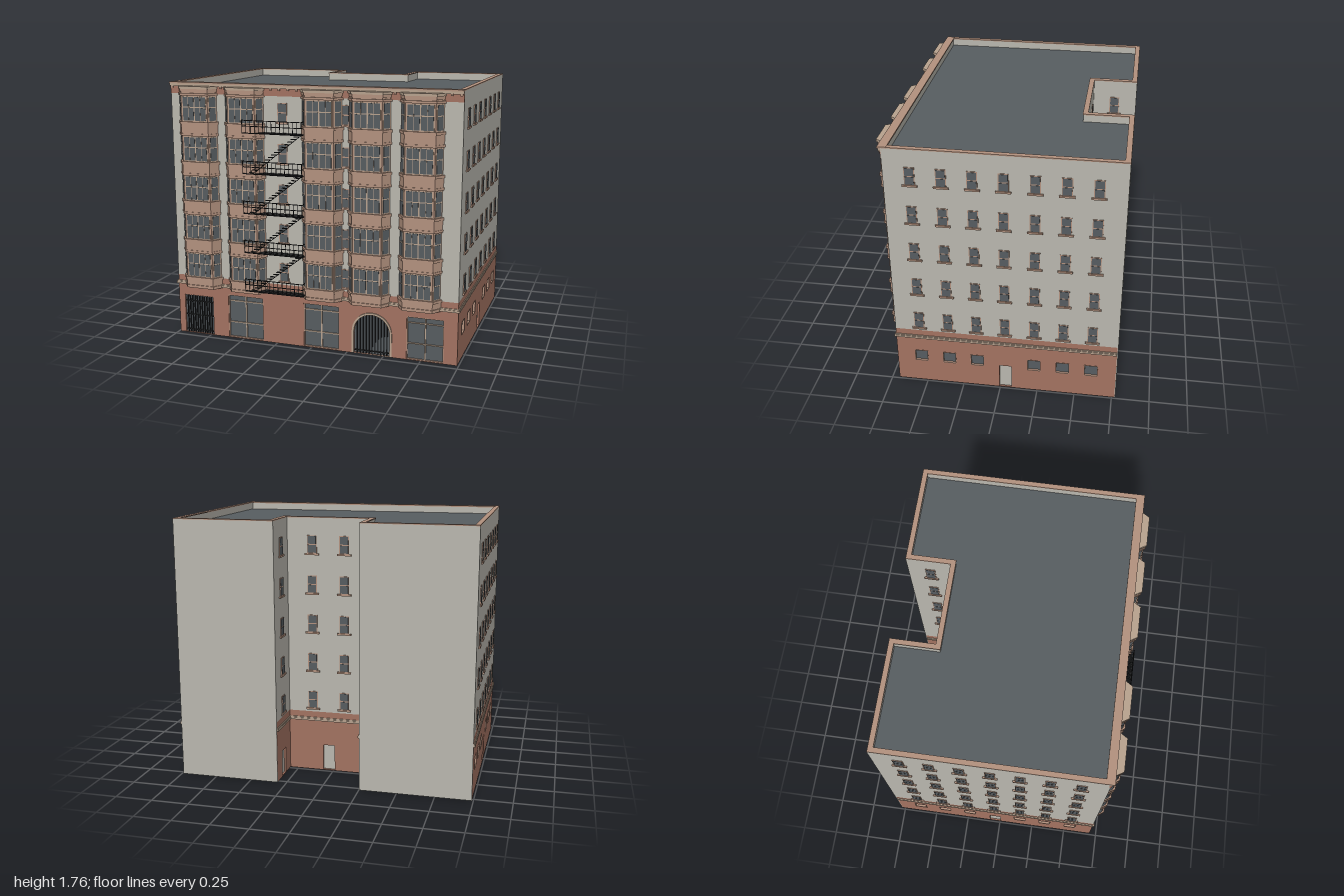
import * as THREE from 'three';

const mat = (name, color, side = THREE.FrontSide) => {
  const m = new THREE.MeshStandardMaterial({ color, side });
  m.name = name;
  return m;
};
const M = {
  plaster: mat('pale plaster', 0xb9b7ae, THREE.DoubleSide),
  brick: mat('red brick', 0xa27261),
  stone: mat('tan stone', 0xb2917e),
  trim: mat('light trim', 0xb7a28e),
  glass: mat('dark glass', 0x565c60),
  roof: mat('slate roof', 0x575d61),
  iron: mat('black iron', 0x1e1f20),
};
const FLOORS = 5, PITCH = 0.267;
const unit = new THREE.BoxGeometry(1, 1, 1);

const add = (parent, name, geo, m) => {
  const mesh = new THREE.Mesh(geo, m);
  mesh.name = name;
  parent.add(mesh);
  return mesh;
};
// box given by its extents on each axis
function box(parent, name, m, x0, x1, y0, y1, z0, z1) {
  const b = add(parent, name, unit, m);
  b.scale.set(x1 - x0, y1 - y0, z1 - z0);
  b.position.set((x0 + x1) / 2, (y0 + y1) / 2, (z0 + z1) / 2);
  return b;
}
const group = (parent, name, x = 0, y = 0, z = 0, ry = 0) => {
  const g = new THREE.Group();
  g.name = name;
  g.position.set(x, y, z);
  g.rotation.y = ry;
  parent.add(g);
  return g;
};

// U-shaped plan, inset by i; returned as (x, -z) points
const footprint = (i) => [
  [-0.99 + i, -0.70 + i], [0.99 - i, -0.70 + i], [0.99 - i, 0.775 - i], [0.31 + i, 0.775 - i],
  [0.31 + i, 0.48 - i], [-0.25 - i, 0.48 - i], [-0.25 - i, 0.775 - i], [-0.99 + i, 0.775 - i],
].map(([x, y]) => new THREE.Vector2(x, y));

// upright prism over a plan, optionally hollow
function prism(points, y0, y1, hole) {
  const s = new THREE.Shape(points);
  if (hole) s.holes.push(new THREE.Path(hole));
  return new THREE.ExtrudeGeometry(s, { depth: y1 - y0, bevelEnabled: false })
    .rotateX(-Math.PI / 2).translate(0, y0, 0);
}

// two-light sash window with a sill; local z points out of the wall
function sash(parent, x, y, w = 0.066, h = 0.118, sill = 0.095) {
  const g = group(parent, 'sashWindow', x, y, 0);
  box(g, 'windowFrame', M.stone, -w / 2, w / 2, 0, h, -0.002, 0.004);
  const a = w / 2 - 0.005;
  box(g, 'lowerPane', M.glass, -a, a, 0.004, h * 0.47, 0, 0.006);
  box(g, 'upperPane', M.glass, -a, a, h * 0.53, h - 0.005, 0, 0.006);
  box(g, 'windowSill', M.stone, -sill / 2, sill / 2, -0.012, 0, -0.002, 0.011);
}

function rectPath(x0, x1, y0, y1) {
  return [[x0, y0], [x1, y0], [x1, y1], [x0, y1]].map(([x, y]) => new THREE.Vector2(x, y));
}
function archPath(cx, r, spring) {
  const p = [new THREE.Vector2(cx - r, 0.004), new THREE.Vector2(cx + r, 0.004)];
  for (let i = 0; i <= 20; i++) {
    const a = (i / 20) * Math.PI;
    p.push(new THREE.Vector2(cx + r * Math.cos(a), spring + r * Math.sin(a)));
  }
  return p;
}

// ground-floor brick wall with openings: { type, x0, x1, y0, y1 }
function brickWall(root, name, x, z, ry, w, openings, over = 0) {
  const g = group(root, name, x, 0, z, ry);
  const s = new THREE.Shape(rectPath(-w / 2, w / 2, 0, 0.42));
  for (const o of openings) {
    const cx = (o.x0 + o.x1) / 2, r = (o.x1 - o.x0) / 2;
    const arch = o.type === 'arch';
    s.holes.push(new THREE.Path(arch ? archPath(cx, r, o.y1 - r) : rectPath(o.x0, o.x1, o.y0, o.y1)));
    const leaf = o.type === 'door';
    box(g, leaf ? 'door' : 'groundGlass', leaf ? M.plaster : M.glass, o.x0 - 0.002, o.x1 + 0.002, o.y0, o.y1, -0.02, -0.013);
    if (o.type === 'window' || o.type === 'shop') {
      const t = o.type === 'shop' ? 0.006 : 0.004, z1 = o.type === 'shop' ? -0.004 : 0.002;
      for (const e of [o.x0, o.x1 - t]) box(g, 'jamb', M.stone, e, e + t, o.y0, o.y1, -0.014, z1);
      for (const e of [o.y0, o.y1 - t]) box(g, 'rail', M.stone, o.x0, o.x1, e, e + t, -0.014, z1);
    }
    if (o.type === 'shop') {
      box(g, 'mullion', M.trim, cx - 0.004, cx + 0.004, o.y0, o.y1, -0.014, -0.005);
      for (const y of [0.11, o.y1 - 0.045]) box(g, 'transom', M.trim, o.x0, o.x1, y, y + 0.007, -0.014, -0.005);
    }
    if (arch || o.type === 'gate') {
      for (let i = 1; i < 12; i++) {
        const bx = -r + (2 * r * i) / 12;
        const top = arch ? o.y1 - r + Math.sqrt(r * r - bx * bx) : o.y1;
        box(g, 'gateBar', M.iron, cx + bx - 0.0035, cx + bx + 0.0035, 0.004, top, -0.012, -0.004);
      }
      for (const y of arch ? [0.02] : [0.02, 0.13, 0.23]) box(g, 'gateRail', M.iron, o.x0, o.x1, y, y + 0.006, -0.012, -0.004);
    }
    if (arch) {
      const ring = new THREE.Shape(archPath(cx, r + 0.014, o.y1 - r));
      ring.holes.push(new THREE.Path(archPath(cx, r, o.y1 - r)));
      add(g, 'archSurround', new THREE.ExtrudeGeometry(ring, { depth: 0.012, bevelEnabled: false }), M.trim).position.z = -0.004;
    }
  }
  add(g, 'brickFace', new THREE.ExtrudeGeometry(s, { depth: 0.02, bevelEnabled: false }), M.brick).position.z = -0.02;
  box(g, 'stoneBand', M.trim, -w / 2 - over, w / 2 + over, 0.356, 0.37, 0, 0.01);
  box(g, 'bandLip', M.trim, -w / 2 - over, w / 2 + over, 0.37, 0.379, 0, 0.006);
  return g;
}

// bay window plan: trapezoid grown by o
const bayPlan = (o) => [[-0.136 - o, 0.002], [-0.095 - o * 0.7, -0.056 - o], [0.095 + o * 0.7, -0.056 - o], [0.136 + o, 0.002]]
  .map(([x, y]) => new THREE.Vector2(x, y));

function bayFace(bay, x, z, ry, w, cols) {
  const face = group(bay, 'bayFace', x, 0, z, ry);
  for (let f = 0; f < FLOORS; f++) {
    const y = 0.435 + f * PITCH, h = 0.163, cw = w / cols;
    box(face, 'bayFrame', M.trim, -w / 2, w / 2, y, y + h, -0.002, 0.002);
    for (let c = 0; c < cols; c++) {
      // each column has a tall lower light and a shorter upper one, halved by a thin bar
      const x0 = -w / 2 + c * cw + 0.004, x1 = x0 + cw - 0.008;
      box(face, 'bayLowerPane', M.glass, x0, x1, y + 0.004, y + 0.088, 0, 0.004);
      box(face, 'bayUpperPane', M.glass, x0, x1, y + 0.095, y + h - 0.004, 0, 0.004);
      if (cols > 1) box(face, 'glazingBar', M.trim, (x0 + x1) / 2 - 0.0015, (x0 + x1) / 2 + 0.0015, y, y + h, 0, 0.005);
    }
  }
}

function bayWindow(root, cx) {
  const bay = group(root, 'bayWindow', cx, 0, 0.70);
  const slab = (name, m, o, y0, y1) => add(bay, name, prism(bayPlan(o), y0, y1), m);
  slab('bayBody', M.stone, 0, 0.36, 1.72);
  slab('bayFoot', M.stone, 0.006, 0.352, 0.372);
  for (let f = 0; f <= FLOORS; f++) {
    const y = 0.435 + f * PITCH;
    if (f < FLOORS) {
      slab('baySill', M.stone, 0.011, y - 0.022, y - 0.004);
      slab('spandrel', M.stone, 0.005, y - (f ? 0.085 : 0.06), y - 0.022);
    }
    if (f) slab('bayLintel', M.stone, 0.009, y - PITCH + 0.168, y - PITCH + 0.184);
  }
  slab('bayCornice', M.stone, 0.006, 1.695, 1.715);
  slab('bayCap', M.trim, 0.013, 1.715, 1.732);
  bayFace(bay, 0, 0.056, 0, 0.172, 2);
  const a = Math.atan2(0.058, 0.041);
  for (const s of [-1, 1]) bayFace(bay, s * 0.1155, 0.027, s * a, 0.054, 1);
}

function fireEscape(root) {
  const g = group(root, 'fireEscape');
  const x0 = -0.445, x1 = -0.03, zf = 0.776, t = 0.003;
  for (let f = 0; f < FLOORS; f++) {
    const y = 0.372 + f * PITCH, h = 0.083;
    for (let i = 0; i < 6; i++) box(g, 'platformSlat', M.iron, x0, x1, y, y + 0.004, 0.703 + i * 0.0125, 0.712 + i * 0.0125);
    for (const r of [0, h * 0.55, h]) {
      box(g, 'frontRail', M.iron, x0, x1, y + r, y + r + 0.005, zf - t, zf);
      for (const e of [x0, x1 - t]) box(g, 'endRail', M.iron, e, e + t, y + r, y + r + 0.005, 0.70, zf);
    }
    for (let i = 0; i <= 14; i++) {
      const x = x0 + ((x1 - x0 - t) * i) / 14;
      box(g, 'baluster', M.iron, x, x + t, y, y + h, zf - t, zf);
    }
    // stair up to the next platform
    if (f < FLOORS - 1) {
      const n = 15, sx = -0.40, run = 0.34;
      for (let i = 0; i < n; i++) {
        const x = sx + (run * i) / n, sy = y + (PITCH * (i + 0.5)) / n;
        box(g, 'stairTread', M.iron, x, x + 0.034, sy, sy + 0.004, 0.758, 0.774);
      }
      const rail = box(g, 'stairStringer', M.iron, 0, Math.hypot(run, PITCH), 0, 0.004, 0.757, 0.760);
      rail.position.set(sx + 0.02 + run / 2, y + PITCH / 2, 0.7585);
      rail.rotation.z = Math.atan2(PITCH, run);
    }
  }
}

export function createModel() {
  const root = new THREE.Group();
  root.name = 'apartmentBuilding';

  // shell, roof and parapet
  add(root, 'lowerShell', prism(footprint(0.02), 0, 0.42, footprint(0.025)), M.plaster);
  add(root, 'upperWalls', prism(footprint(0), 0.42, 1.748, footprint(0.03)), M.plaster);
  add(root, 'roofDeck', prism(footprint(0.02), 1.69, 1.70), M.roof);
  add(root, 'parapetCap', prism(footprint(0), 1.748, 1.755, footprint(0.034)), M.stone);
  for (const [a, b] of [[-0.99, -0.25], [0.31, 0.99]]) box(root, 'rearWingWall', M.plaster, a, b, 0, 0.42, -0.775, -0.769);

  // front cornice
  box(root, 'frontCap', M.stone, -0.99, 0.99, 1.746, 1.756, 0.666, 0.722);
  box(root, 'frontCornice', M.trim, -0.99, 0.99, 1.728, 1.746, 0.69, 0.716);
  box(root, 'frontFrieze', M.brick, -0.99, 0.99, 1.68, 1.728, 0.69, 0.704);
  for (let i = 0; i < 34; i++) {
    const x = -0.975 + (i * 1.95) / 33;
    box(root, 'dentil', M.stone, x - 0.007, x + 0.007, 1.716, 1.729, 0.70, 0.712);
  }

  // street front
  brickWall(root, 'frontBase', 0, 0.70, 0, 1.98, [
    { type: 'gate', x0: -0.945, x1: -0.728, y0: 0.004, y1: 0.275 },
    { type: 'shop', x0: -0.61, x1: -0.35, y0: 0.004, y1: 0.308 },
    { type: 'shop', x0: -0.055, x1: 0.195, y0: 0.004, y1: 0.308 },
    { type: 'arch', x0: 0.299, x1: 0.543, y0: 0.004, y1: 0.277 },
    { type: 'shop', x0: 0.655, x1: 0.90, y0: 0.004, y1: 0.295 },
  ], 0.01);
  for (const x of [-0.791, -0.456, 0.082, 0.40, 0.736]) bayWindow(root, x);
  const front = group(root, 'frontWindows', 0, 0, 0.70);
  for (let f = 0; f < FLOORS; f++) {
    sash(front, -0.19, 0.445 + f * PITCH, 0.066, 0.125, 0.08);
    sash(front, 0.242, 0.445 + f * PITCH, 0.05, 0.125, 0.05);
  }
  fireEscape(root);

  // side walls: local x runs along -z on the +x side and along +z on the other
  const columns = [0.535, 0.343, 0.154, -0.035, -0.227, -0.416, -0.605];
  for (const s of [1, -1]) {
    const mid = -0.0345;
    const openings = columns.map((z, i) => {
      const x = -s * (z - mid);
      return i === 3 ? { type: 'door', x0: x - 0.04, x1: x + 0.04, y0: 0.006, y1: 0.182 }
        : { type: 'window', x0: x - 0.045, x1: x + 0.045, y0: 0.165, y1: 0.252 };
    });
    const side = brickWall(root, 'sideBase', s * 0.99, mid, s * Math.PI / 2, 1.469, openings);
    for (const z of columns) for (let f = 0; f < FLOORS; f++) sash(side, -s * (z - mid), 0.447 + f * PITCH);
  }

  // rear light court
  const door = [{ type: 'door', x0: -0.04, x1: 0.04, y0: 0.006, y1: 0.182 }];
  const court = [
    [brickWall(root, 'courtLeftBase', 0.31, -0.6245, -Math.PI / 2, 0.289, door), [0]],
    [brickWall(root, 'courtRightBase', -0.25, -0.6245, Math.PI / 2, 0.289, door), [0]],
    [brickWall(root, 'courtBackBase', 0.03, -0.48, Math.PI, 0.56, door), [-0.11, 0.11]],
  ];
  for (const [wall, xs] of court) for (const x of xs) for (let f = 0; f < FLOORS; f++) sash(wall, x, 0.447 + f * PITCH);

  return root;
}
